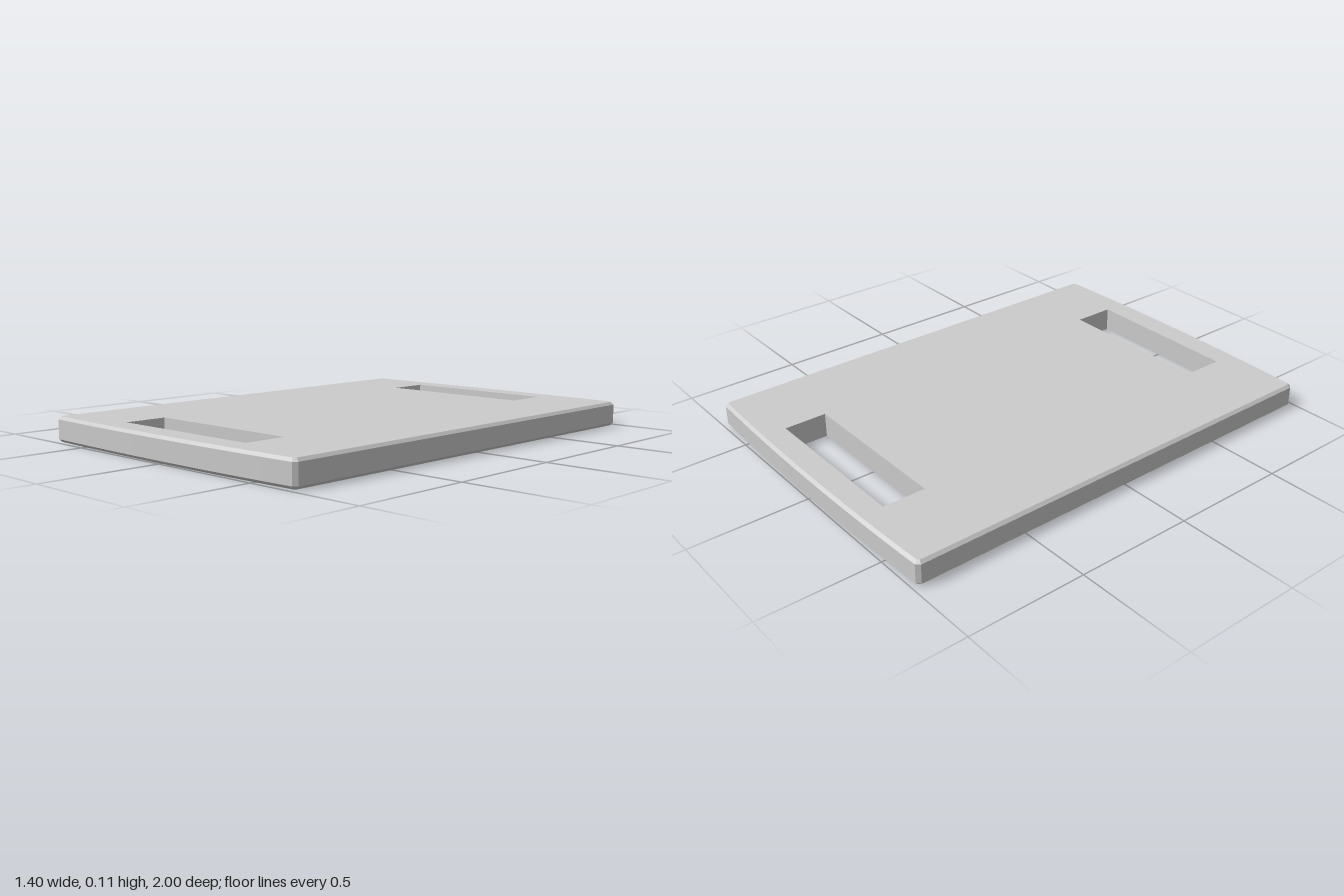
import * as THREE from 'three';
import { toCreasedNormals } from 'three/addons/utils/BufferGeometryUtils.js';

const HALF_WIDTH = 0.7, HEIGHT = 0.105, BEVEL = 0.012;
const SLOT = { x: 0.352, inner: 0.705, outer: 0.887 };

// Outline with gently bowed ends and small clipped corners
function boardShape() {
  const end = [];
  const steps = 16, reach = HALF_WIDTH - 0.015;
  for (let i = 0; i <= steps; i++) {
    const x = reach * (1 - (2 * i) / steps);
    end.push(new THREE.Vector2(x, 1 - 0.017 * (x / reach) ** 2));
  }
  const half = [
    new THREE.Vector2(HALF_WIDTH, 0.968),
    ...end,
    new THREE.Vector2(-HALF_WIDTH, 0.968),
  ];
  const opposite = half.map((p) => p.clone().negate());
  const shape = new THREE.Shape([...half, ...opposite]);

  // Hand slot at each end
  for (const s of [1, -1]) {
    const a = s * SLOT.inner, b = s * SLOT.outer;
    shape.holes.push(new THREE.Path([
      new THREE.Vector2(-SLOT.x, a), new THREE.Vector2(-SLOT.x, b),
      new THREE.Vector2(SLOT.x, b), new THREE.Vector2(SLOT.x, a),
    ]));
  }
  return shape;
}

export function createModel() {
  const geometry = new THREE.ExtrudeGeometry(boardShape(), {
    depth: HEIGHT - 2 * BEVEL,
    bevelEnabled: true,
    bevelSize: BEVEL,
    bevelThickness: BEVEL,
    bevelOffset: -BEVEL,
    bevelSegments: 1,
  });
  geometry.rotateX(-Math.PI / 2);
  geometry.translate(0, BEVEL, 0);

  // Keep the slot walls straight: only the outer rim is bevelled
  const pos = geometry.attributes.position;
  const middle = (SLOT.inner + SLOT.outer) / 2;
  for (let i = 0; i < pos.count; i++) {
    const x = pos.getX(i), z = pos.getZ(i);
    if (Math.abs(x) > 0.45 || Math.abs(z) > 0.93) continue;
    pos.setX(i, Math.sign(x) * SLOT.x);
    pos.setZ(i, Math.sign(z) * (Math.abs(z) > middle ? SLOT.outer : SLOT.inner));
  }

  const board = new THREE.Mesh(
    toCreasedNormals(geometry, 0.3),
    new THREE.MeshStandardMaterial({ color: 0xcccccc })
  );
  board.name = 'board';

  const group = new THREE.Group();
  group.name = 'slottedBoard';
  group.add(board);
  return group;
}
